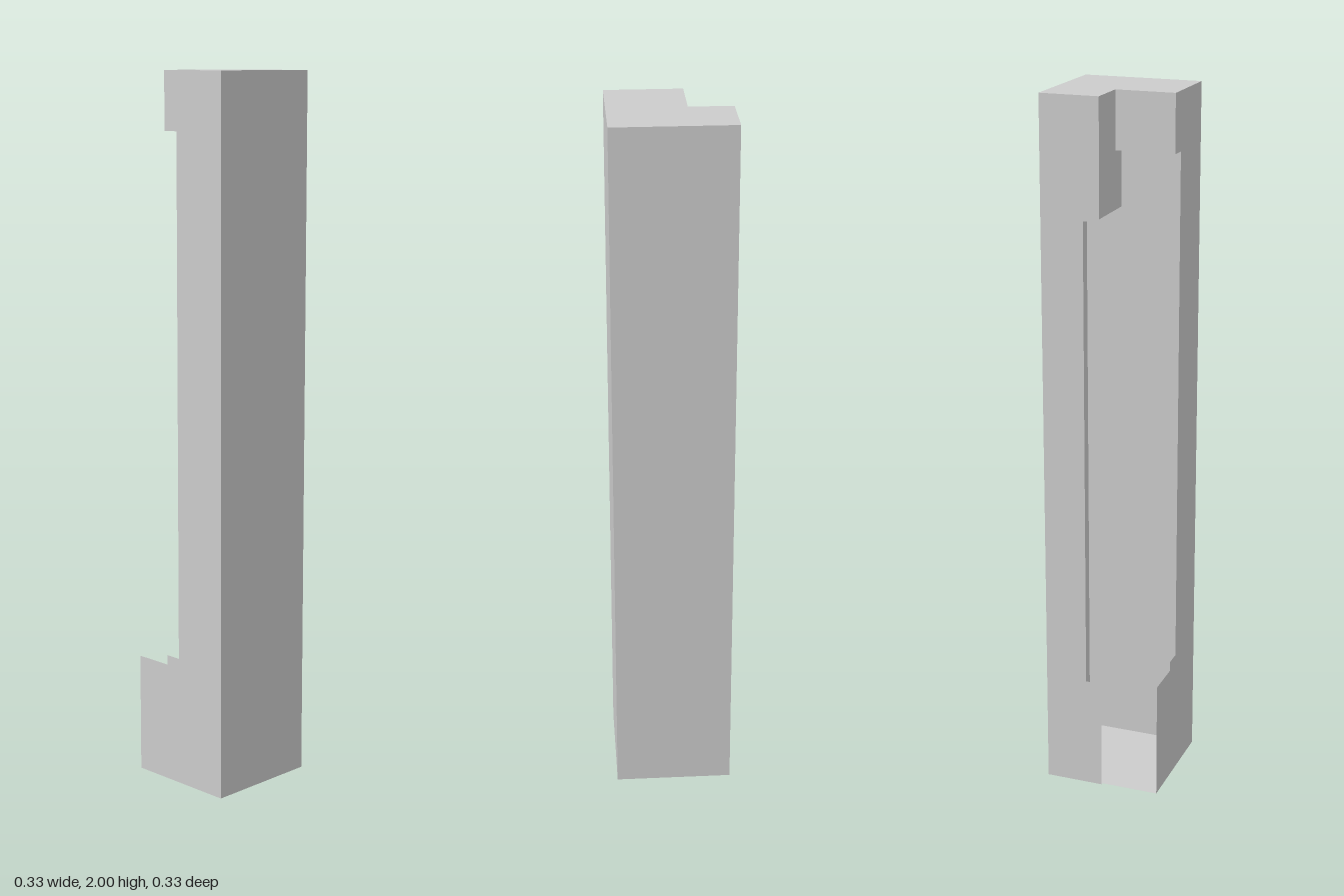
import * as THREE from 'three';

const H = 0.167;    // half width of the post
const N = -0.046;   // depth of the narrow notch step
const F = -0.16;    // free edge of the foot panel
const TOP = 2;

export function createModel() {
  const group = new THREE.Group();
  const material = new THREE.MeshStandardMaterial({ color: 0xcccccc, side: THREE.DoubleSide });

  // Flat sheet: an outline in (u, v), placed in space by a rule
  function panel(name, outline, place) {
    const geometry = new THREE.ShapeGeometry(
      new THREE.Shape(outline.map(([u, v]) => new THREE.Vector2(u, v))));
    const p = geometry.attributes.position;
    for (let i = 0; i < p.count; i++) p.setXYZ(i, ...place(p.getX(i), p.getY(i)));
    geometry.computeVertexNormals();
    const mesh = new THREE.Mesh(geometry, material);
    mesh.name = name;
    group.add(mesh);
  }
  const rect = (u0, v0, u1, v1) => [[u0, v0], [u1, v0], [u1, v1], [u0, v1]];

  // Outer walls
  panel('backPanel', rect(-H, 0, H, TOP), (u, v) => [-u, v, -H]);
  panel('leftPanel', rect(-H, 0, H, TOP), (u, v) => [H, v, -u]);
  panel('frontPanel', [
    [F, 0], [H, 0], [H, TOP], [N, TOP], [N, 1.84], [0, 1.84],
    [0, 0.37], [N, 0.37], [N, 0.342], [F, 0.342],
  ], (u, v) => [u, v, H]);
  panel('rightPanel', [
    [-H, 0], [0, 0], [0, 0.327], [N, 0.327], [N, 1.67], [0, 1.675], [0, TOP], [-H, TOP],
  ], (u, v) => [-H, v, u]);

  // Floor and cap
  panel('floor', [[-H, -H], [H, -H], [H, H], [F, H], [F, 0], [-H, 0]], (u, v) => [u, 0, v]);
  panel('topCap', [[-H, 0], [N, 0], [N, -H], [H, -H], [H, H], [-H, H]], (u, v) => [u, TOP, -v]);

  // Walls of the stepped corner notch at the top
  panel('notchBackWall', rect(-H, 1.68, 0, TOP), (u, v) => [u, v, 0]);
  panel('notchSideWall', rect(0, 1.84, H, TOP), (u, v) => [N, v, u]);
  panel('notchLedge', rect(N, 0, 0, H), (u, v) => [u, 1.84, v]);
  panel('notchLowerWall', rect(0, 1.68, H, 1.84), (u, v) => [0, v, u]);

  // Slightly sloping ceiling above the long opening
  panel('openingCeiling', rect(-H, -H, 0, 0), (u, v) => [u, 1.68 + 0.06 * v, v]);

  return group;
}
